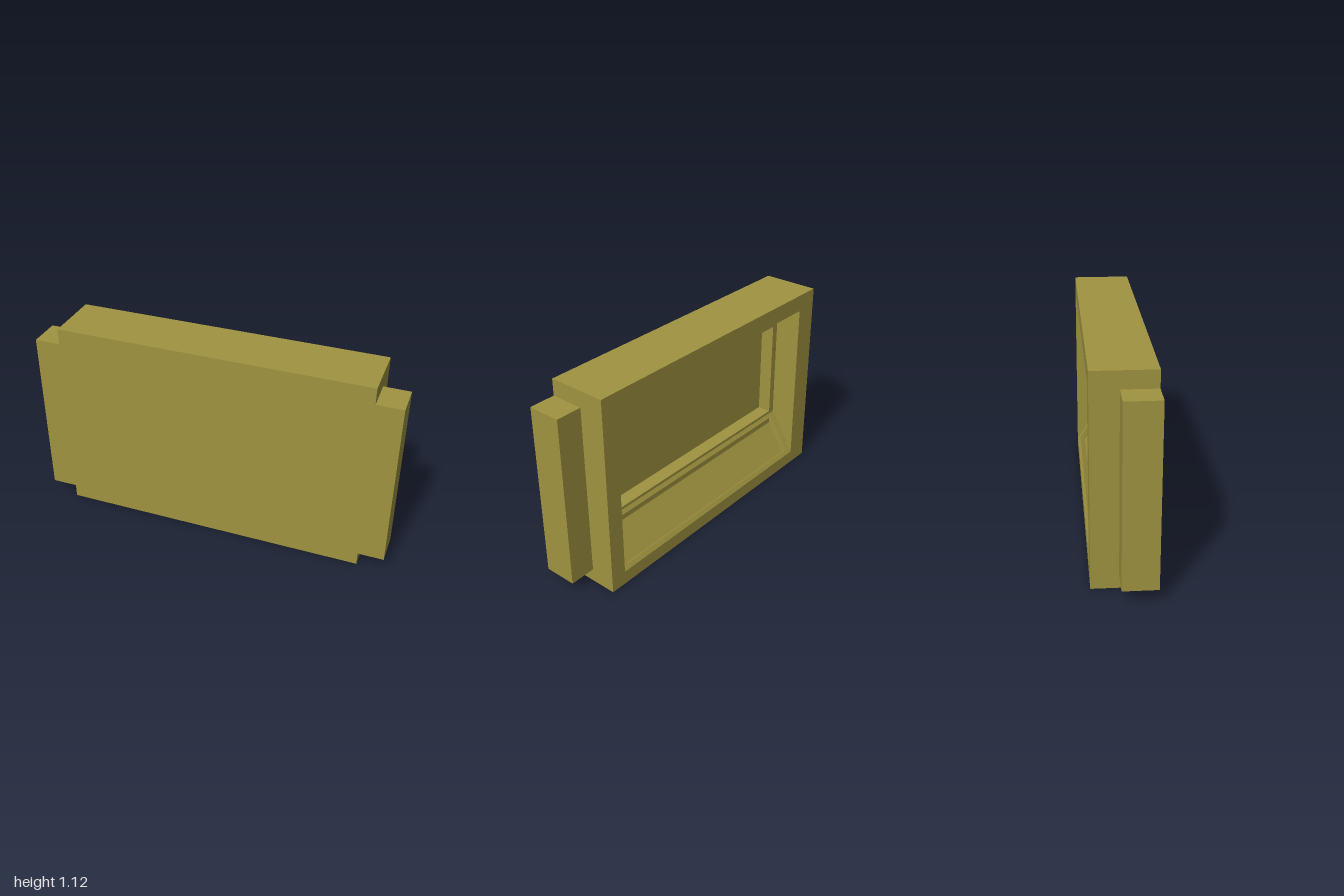
import * as THREE from 'three';

const material = new THREE.MeshStandardMaterial({ color: 0xa09440, flatShading: true });

// Outer case and the window cut into its back
const W = 0.857, H = 1.12, BACK = -0.16, FRONT = 0.16;
const OPEN = { x0: -0.724, x1: 0.766, y0: 0.076, y1: 1.025 };
// Inner panel window, with the depths of its ledge and floor
const PANEL = { x0: -0.685, x1: 0.73, y0: 0.33, y1: 0.897 };
const LEDGE = -0.01, FLOOR = 0.068;

function corners({ x0, x1, y0, y1 }) {
  return [[x0, y0], [x1, y0], [x1, y1], [x0, y1]].map(([x, y]) => new THREE.Vector2(x, y));
}

function add(group, name, geometry) {
  const mesh = new THREE.Mesh(geometry, material);
  mesh.name = name;
  group.add(mesh);
  return mesh;
}

// Rectangular layer of the case, pierced by a window, between two depths
function frame(hole, z0, z1) {
  const shape = new THREE.Shape(corners({ x0: -W, x1: W, y0: 0, y1: H }));
  shape.holes.push(new THREE.Path(corners(hole)));
  return new THREE.ExtrudeGeometry(shape, { depth: z1 - z0, bevelEnabled: false }).translate(0, 0, z0);
}

// Profile given as [z, y] points, swept along x
function sweep(points, x0, x1) {
  const shape = new THREE.Shape(points.map(([z, y]) => new THREE.Vector2(z, y)));
  return new THREE.ExtrudeGeometry(shape, { depth: x1 - x0, bevelEnabled: false })
    .rotateY(-Math.PI / 2)
    .translate(x1, 0, 0);
}

function box(x0, x1, y0, y1, z0, z1) {
  return new THREE.BoxGeometry(x1 - x0, y1 - y0, z1 - z0)
    .translate((x0 + x1) / 2, (y0 + y1) / 2, (z0 + z1) / 2);
}

export function createModel() {
  const group = new THREE.Group();
  group.name = 'recessedCase';

  // Case, layered from back to front
  add(group, 'backFrame', frame(OPEN, BACK, LEDGE));
  add(group, 'panelFrame', frame(PANEL, LEDGE, FLOOR));
  add(group, 'frontSlab', box(-W, W, 0, H, FLOOR, FRONT));

  // Side blocks
  add(group, 'leftBlock', box(W, 1, 0.075, 1.03, -0.02, FRONT));
  add(group, 'rightBlock', box(-1, -W, 0.075, 1.03, -0.02, FRONT));

  // Sloping ceiling of the recess
  add(group, 'upperSlope', sweep(
    [[BACK, OPEN.y1], [LEDGE, OPEN.y1 - 0.108], [LEDGE, OPEN.y1]], OPEN.x0, OPEN.x1));

  // Sloping desk at the bottom, with a shallow tray sunk into it
  const low = new THREE.Vector2(BACK, OPEN.y0);
  const high = new THREE.Vector2(LEDGE, 0.314);
  const along = high.clone().sub(low).normalize();
  const sink = new THREE.Vector2(along.y, -along.x).multiplyScalar(0.035);
  const top = low.clone().lerp(high, 0.91), bottom = low.clone().lerp(high, 0.09);
  const plain = [low, new THREE.Vector2(LEDGE, OPEN.y0), high].map((p) => p.toArray());
  const notch = [top, top.clone().add(sink), bottom.clone().add(sink), bottom].map((p) => p.toArray());
  const rim = 0.035;
  add(group, 'deskTray', sweep([...plain, ...notch], OPEN.x0 + rim, OPEN.x1 - rim));
  add(group, 'deskRimRight', sweep(plain, OPEN.x0, OPEN.x0 + rim));
  add(group, 'deskRimLeft', sweep(plain, OPEN.x1 - rim, OPEN.x1));

  return group;
}
